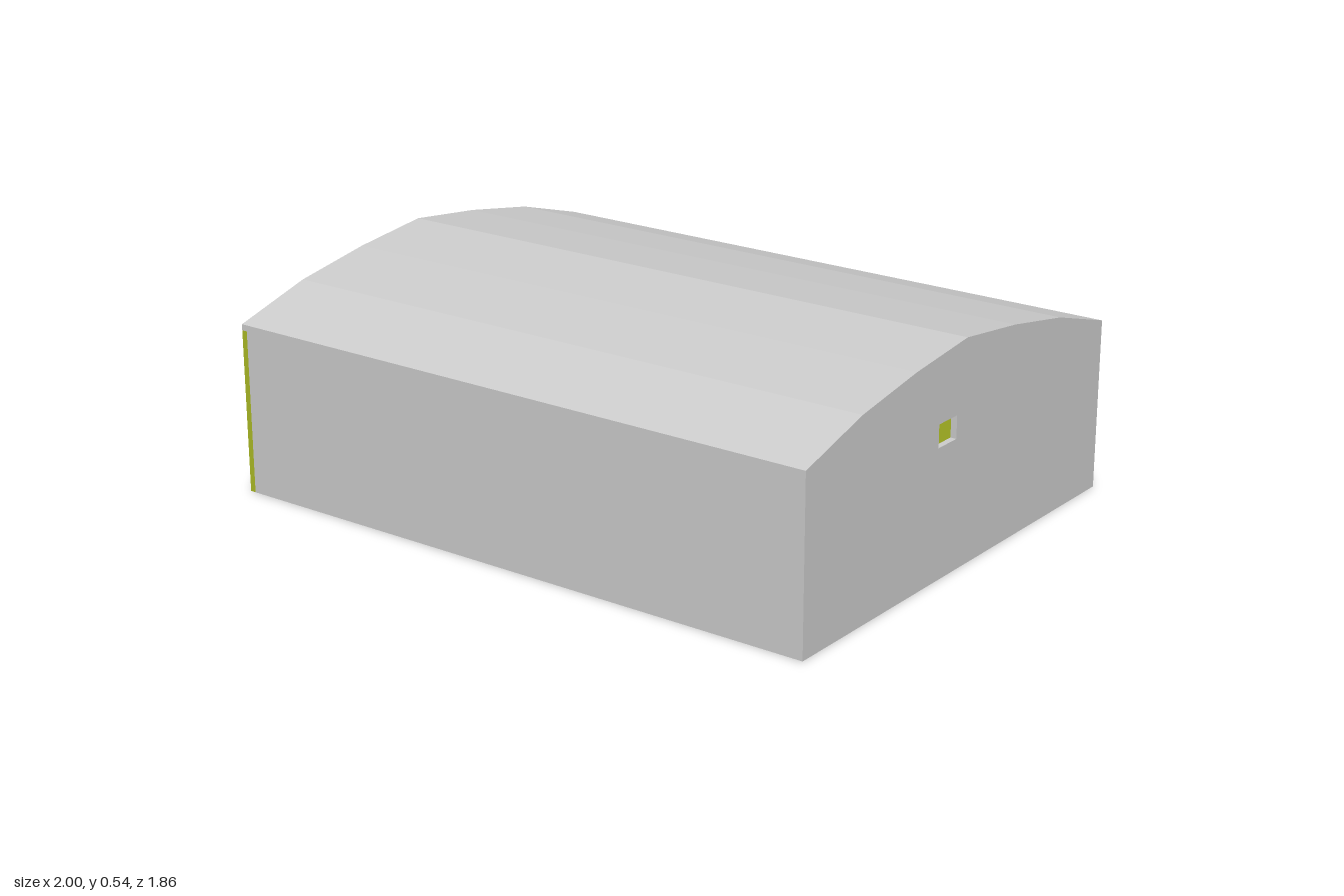
import * as THREE from 'three';

const L = 1.6, W = 1.24;          // length and width of the hall
const T = 0.015;                  // shell thickness
const EAVE = 0.42;
const RISE = [0, 0.06, 0.096, 0.12, 0.096, 0.06, 0]; // faceted roof arch

// Arch points across the width, lowered by a given drop
const arch = (halfWidth, drop) => RISE.map((r, i) =>
  new THREE.Vector2(-halfWidth + (i / 6) * 2 * halfWidth, EAVE + r - drop));

// Extrude a cross-section along x, centred on the given x
function section(shape, depth, x) {
  const g = new THREE.ExtrudeGeometry(shape, { depth, bevelEnabled: false });
  g.translate(0, 0, -depth / 2);
  g.rotateY(Math.PI / 2);
  g.translate(x, 0, 0);
  return g;
}

// Curved strip between two arches
const band = (halfWidth, top, bottom) => new THREE.Shape([
  ...arch(halfWidth, bottom), ...arch(halfWidth, top).reverse()]);

// Full end wall outline
const gable = () => new THREE.Shape([
  new THREE.Vector2(W / 2, 0), ...arch(W / 2, T).reverse(), new THREE.Vector2(-W / 2, 0)]);

export function createModel() {
  const grey = new THREE.MeshStandardMaterial({ color: 0xcccccc });
  grey.name = 'light grey';
  const olive = new THREE.MeshStandardMaterial({ color: 0xacbb25 });
  olive.name = 'olive green';

  const hall = new THREE.Group();
  hall.name = 'hall';
  const add = (name, geometry, material) => {
    const mesh = new THREE.Mesh(geometry, material);
    mesh.name = name;
    hall.add(mesh);
  };
  const box = (name, material, w, h, d, x, z) =>
    add(name, new THREE.BoxGeometry(w, h, d).translate(x, h / 2, z), material);

  // Roof shell
  add('roof', section(band(W / 2, 0, T), L, 0), grey);

  // End wall with a small window opening
  const windowWall = gable();
  const s = -0.07, hw = 0.037;
  windowWall.holes.push(new THREE.Path([
    new THREE.Vector2(s - hw, 0.315), new THREE.Vector2(s - hw, 0.37),
    new THREE.Vector2(s + hw, 0.37), new THREE.Vector2(s + hw, 0.315)]));
  add('windowEndWall', section(windowWall, T, L / 2 - T / 2), grey);

  // Coloured end wall
  add('colouredEndWall', section(gable(), T, -L / 2 + T / 2), olive);

  // Long walls with inner lining and columns
  const bays = [-0.43, -0.143, 0.143, 0.43];
  for (const side of [-1, 1]) {
    box('longWall', grey, L - 2 * T, EAVE - T, T, 0, side * (W / 2 - T / 2));
    box('wallLining', olive, 1.14, EAVE - T - 0.002, 0.004, 0, side * (W / 2 - T - 0.002));
    for (const x of bays)
      box('column', olive, 0.085, EAVE - T, 0.055, x, side * (W / 2 - T - 0.0275));
  }

  // Roof ribs spanning between the columns
  for (const x of bays)
    add('roofRib', section(band(W / 2 - T, T, 0.065), 0.025, x), grey);

  // The hall stands turned on its plot
  hall.rotation.y = -Math.atan2(0.775, 1.4);
  const model = new THREE.Group();
  model.name = 'building';
  model.add(hall);
  return model;
}
